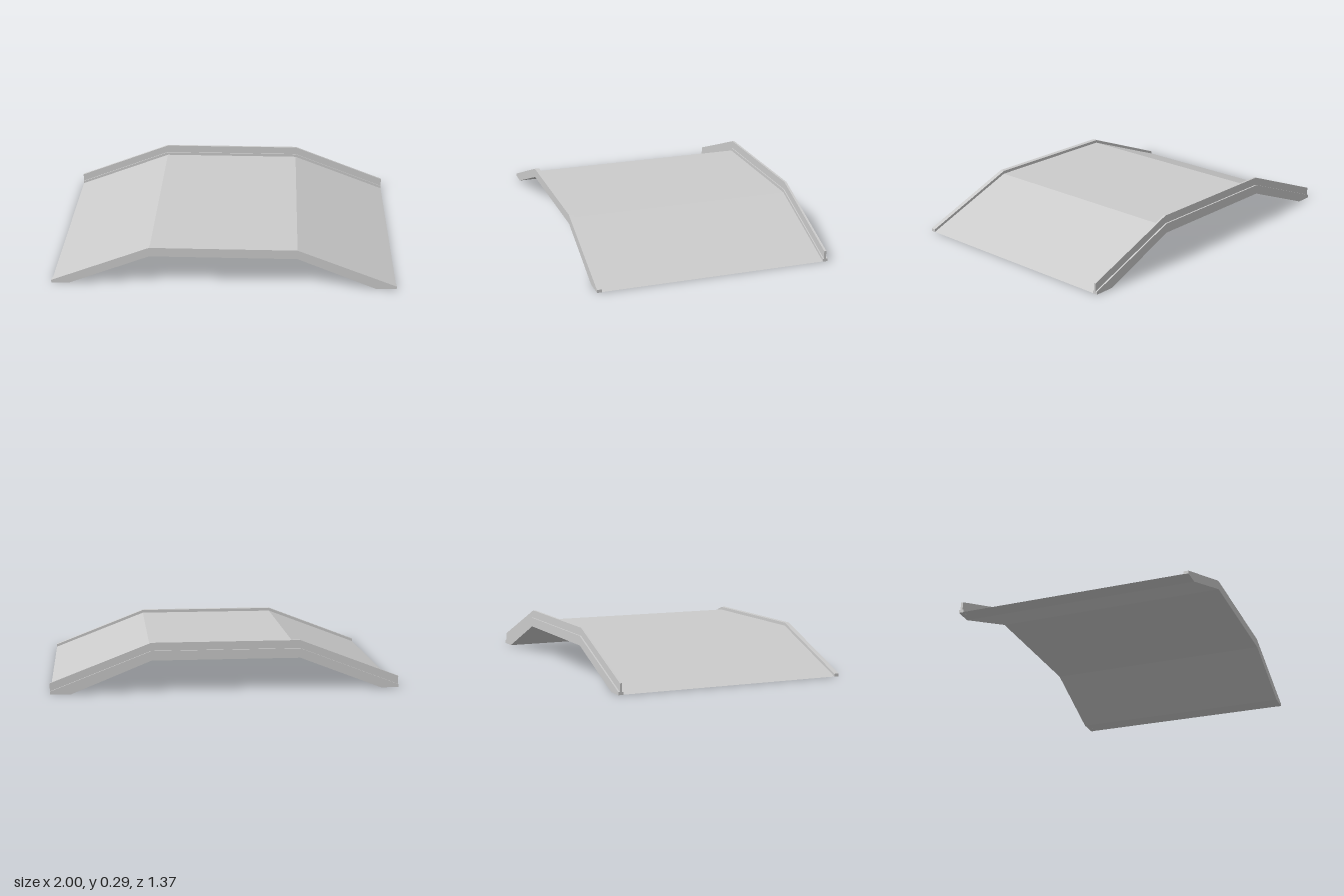
import * as THREE from 'three';

const KNEE = 0.425; // where the ramps meet the flat middle

// Extrude an x-y profile between two depths
function slab(name, points, z0, z1) {
  const shape = new THREE.Shape(points.map(([x, y]) => new THREE.Vector2(x, y)));
  const geometry = new THREE.ExtrudeGeometry(shape, { depth: z1 - z0, bevelEnabled: false });
  geometry.translate(0, 0, z0);
  const material = new THREE.MeshStandardMaterial({ color: 0xcccccc, flatShading: true });
  const mesh = new THREE.Mesh(geometry, material);
  mesh.name = name;
  return mesh;
}

// Top edge of a ramped profile, running from +x to -x
const topEdge = (end, middle) => [[1, end], [KNEE, middle], [-KNEE, middle], [-1, end]];

export function createModel() {
  const group = new THREE.Group();
  group.name = 'rampedBridge';

  // Underside with small flat feet at both ends
  const underside = [[-0.9, 0], [-KNEE, 0.185], [KNEE, 0.185], [0.88, 0]];

  // Walkway, its ramps running out to the ground
  group.add(slab('deck', [...underside, ...topEdge(0.001, 0.222)], -0.655, 0.655));

  // Raised edge strips along both sides
  const curb = [...underside, [1, 0], ...topEdge(0.017, 0.24), [-1, 0]];
  group.add(slab('frontCurb', curb, 0.655, 0.683));
  group.add(slab('backCurb', curb, -0.683, -0.655));

  // Thin upright board standing on the back curb
  const board = [[-1, 0.017], [-KNEE, 0.24], [KNEE, 0.24], [1, 0.017], ...topEdge(0.064, 0.286)];
  group.add(slab('backBoard', board, -0.674, -0.661));

  return group;
}
